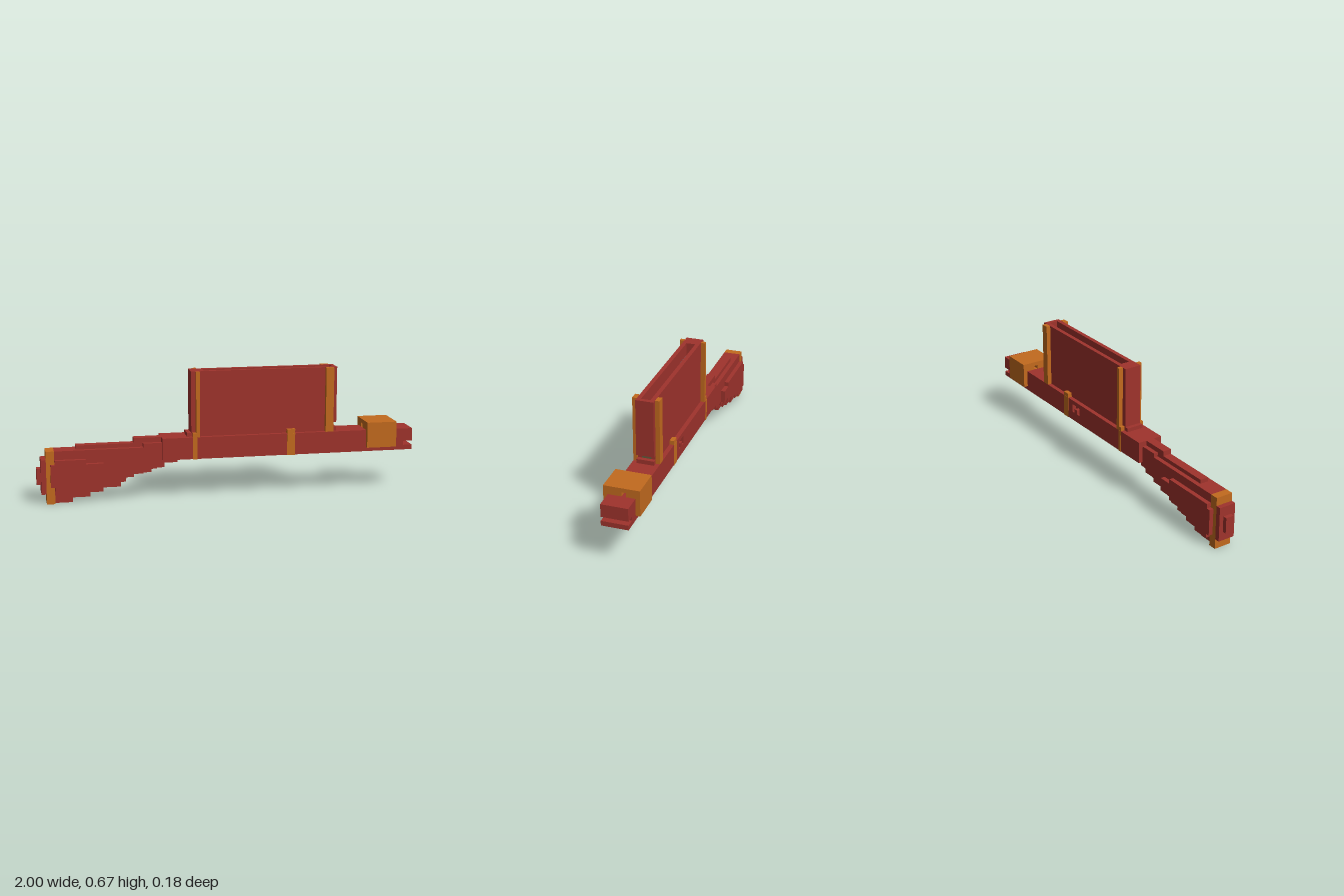
import * as THREE from 'three';

const mat = (name, color) => Object.assign(new THREE.MeshStandardMaterial({ color }), { name });

export function createModel() {
  const red = mat('brick red', 0x9f332c);
  const orange = mat('orange', 0xc26a1e);
  const grey = mat('blue grey', 0x5f6c73);
  const olive = mat('olive', 0x645a3c);
  const model = new THREE.Group();
  model.name = 'blockRifle';

  // Box given by its limits on each axis
  function box(name, material, x0, x1, y0, y1, z0, z1, parent = model) {
    const mesh = new THREE.Mesh(new THREE.BoxGeometry(x1 - x0, y1 - y0, z1 - z0), material);
    mesh.position.set((x0 + x1) / 2, (y0 + y1) / 2, (z0 + z1) / 2);
    mesh.name = name;
    parent.add(mesh);
    return mesh;
  }

  // Stepped slab: columns of [x0, x1, bottom, top], left to right
  function slab(name, columns, z0, z1, parent = model) {
    const shape = new THREE.Shape();
    shape.moveTo(columns[0][0], columns[0][2]);
    for (const [a, b, low] of columns) { shape.lineTo(a, low); shape.lineTo(b, low); }
    for (const [a, b, , high] of [...columns].reverse()) { shape.lineTo(b, high); shape.lineTo(a, high); }
    const geometry = new THREE.ExtrudeGeometry(shape, { depth: z1 - z0, bevelEnabled: false });
    geometry.translate(0, 0, z0);
    const mesh = new THREE.Mesh(geometry, red);
    mesh.name = name;
    parent.add(mesh);
  }

  // Receiver and barrel, with a recess in the back side
  const W = 0.069;
  const body = new THREE.Group();
  body.name = 'receiver';
  model.add(body);
  box('receiverCore', red, -0.353, 0.952, 0.21, 0.325, -0.046, W, body);
  box('backWallRear', red, -0.353, 0.2, 0.21, 0.325, -W, -0.046, body);
  box('backWallFront', red, 0.27, 0.952, 0.21, 0.325, -W, -0.046, body);
  box('recessSill', red, 0.2, 0.27, 0.21, 0.257, -W, -0.046, body);
  box('recessLip', red, 0.2, 0.27, 0.302, 0.325, -W, -0.046, body);
  box('recessPeg', red, 0.222, 0.247, 0.257, 0.28, -W, -0.046, body);

  // Muzzle with a slot between its two lips
  box('muzzleTop', red, 0.952, 1, 0.257, 0.325, -W, W);
  box('muzzleLip', red, 0.952, 1, 0.21, 0.235, -W, W);

  // Bands round the receiver
  for (const [a, b] of [[-0.193, -0.171], [0.31, 0.353]]) {
    box('bandLower', orange, a, b, 0.208, 0.325, -0.0705, 0.0705);
    for (const s of [-1, 1]) {
      box('bandTab', orange, a, b, 0.325, 0.347, s * 0.058 - 0.0115, s * 0.058 + 0.0115);
    }
  }

  // Front block with a small tunnel along x
  const block = new THREE.Group();
  block.name = 'frontBlock';
  model.add(block);
  box('blockBase', orange, 0.743, 0.904, 0.233, 0.325, -0.092, 0.092, block);
  box('blockTop', orange, 0.743, 0.904, 0.347, 0.369, -0.092, 0.092, block);
  box('blockLeft', orange, 0.743, 0.904, 0.325, 0.347, 0, 0.092, block);
  box('blockRight', orange, 0.743, 0.904, 0.325, 0.347, -0.092, -0.023, block);

  // Tall magazine, open at the top
  const mag = new THREE.Group();
  mag.name = 'magazine';
  model.add(mag);
  box('rearWall', red, -0.198, -0.128, 0.325, 0.668, -0.046, 0.046, mag);
  box('frontWall', red, 0.561, 0.583, 0.37, 0.668, -0.046, 0.046, mag);
  box('frontStep', red, 0.561, 0.583, 0.325, 0.347, -0.046, 0.046, mag);
  box('rearStep', red, -0.22, -0.198, 0.325, 0.345, -0.046, 0.046, mag);
  for (const s of [-1, 1]) {
    box('sideWall', red, -0.128, 0.561, 0.325, 0.668, s * 0.035 - 0.011, s * 0.035 + 0.011, mag);
    box('rearStrip', orange, -0.175, -0.155, 0.325, 0.668, s * 0.058 - 0.0115, s * 0.058 + 0.0115, mag);
    box('frontStrip', orange, 0.519, 0.561, 0.325, 0.668, s * 0.058 - 0.0115, s * 0.058 + 0.0115, mag);
  }
  // Rounds inside
  box('roundBed', olive, -0.128, 0.561, 0.325, 0.59, -0.024, 0.024, mag);
  box('roundTip', grey, 0.47, 0.561, 0.59, 0.6, -0.024, 0.024, mag);
  box('roundBase', grey, -0.107, -0.016, 0.59, 0.6, -0.024, 0.024, mag);

  // Stock: narrow core, wider body and raised cheek panels
  const stock = new THREE.Group();
  stock.name = 'stock';
  model.add(stock);
  slab('stockCore', [
    [-0.909, -0.818, 0, 0.278], [-0.818, -0.797, 0.025, 0.278], [-0.797, -0.727, 0.025, 0.299],
    [-0.727, -0.658, 0.048, 0.299], [-0.658, -0.567, 0.07, 0.299], [-0.567, -0.54, 0.095, 0.299],
    [-0.54, -0.497, 0.118, 0.299], [-0.497, -0.406, 0.14, 0.325], [-0.406, -0.337, 0.163, 0.325],
    [-0.337, -0.267, 0.187, 0.325], [-0.267, -0.2, 0.209, 0.325],
  ], -0.023, 0.023, stock);
  slab('stockBody', [
    [-0.909, -0.84, 0.025, 0.278], [-0.84, -0.75, 0.048, 0.278], [-0.75, -0.68, 0.07, 0.278],
    [-0.68, -0.61, 0.095, 0.278], [-0.61, -0.54, 0.118, 0.278], [-0.54, -0.45, 0.14, 0.278],
    [-0.45, -0.38, 0.163, 0.299], [-0.38, -0.34, 0.187, 0.299],
  ], -0.046, 0.046, stock);
  slab('leftCheek', [
    [-0.93, -0.909, 0.093, 0.209], [-0.909, -0.87, 0.07, 0.233], [-0.87, -0.8, 0.07, 0.233],
    [-0.8, -0.75, 0.095, 0.233], [-0.75, -0.7, 0.118, 0.209], [-0.7, -0.658, 0.14, 0.209],
  ], 0.046, W, stock);
  slab('rightCheek', [
    [-0.93, -0.909, 0.07, 0.209], [-0.909, -0.82, 0.048, 0.233], [-0.82, -0.75, 0.07, 0.233],
    [-0.75, -0.68, 0.095, 0.233], [-0.68, -0.61, 0.118, 0.233], [-0.61, -0.54, 0.14, 0.209],
  ], -W, -0.046, stock);

  // Butt plate band and stepped end
  box('buttBand', orange, -0.952, -0.909, 0, 0.278, -0.046, 0.046, stock);
  box('buttPlate', red, -0.978, -0.952, 0.053, 0.235, -0.046, 0.046, stock);
  box('buttPad', red, -1, -0.978, 0.1, 0.184, -0.023, 0.023, stock);

  return model;
}
